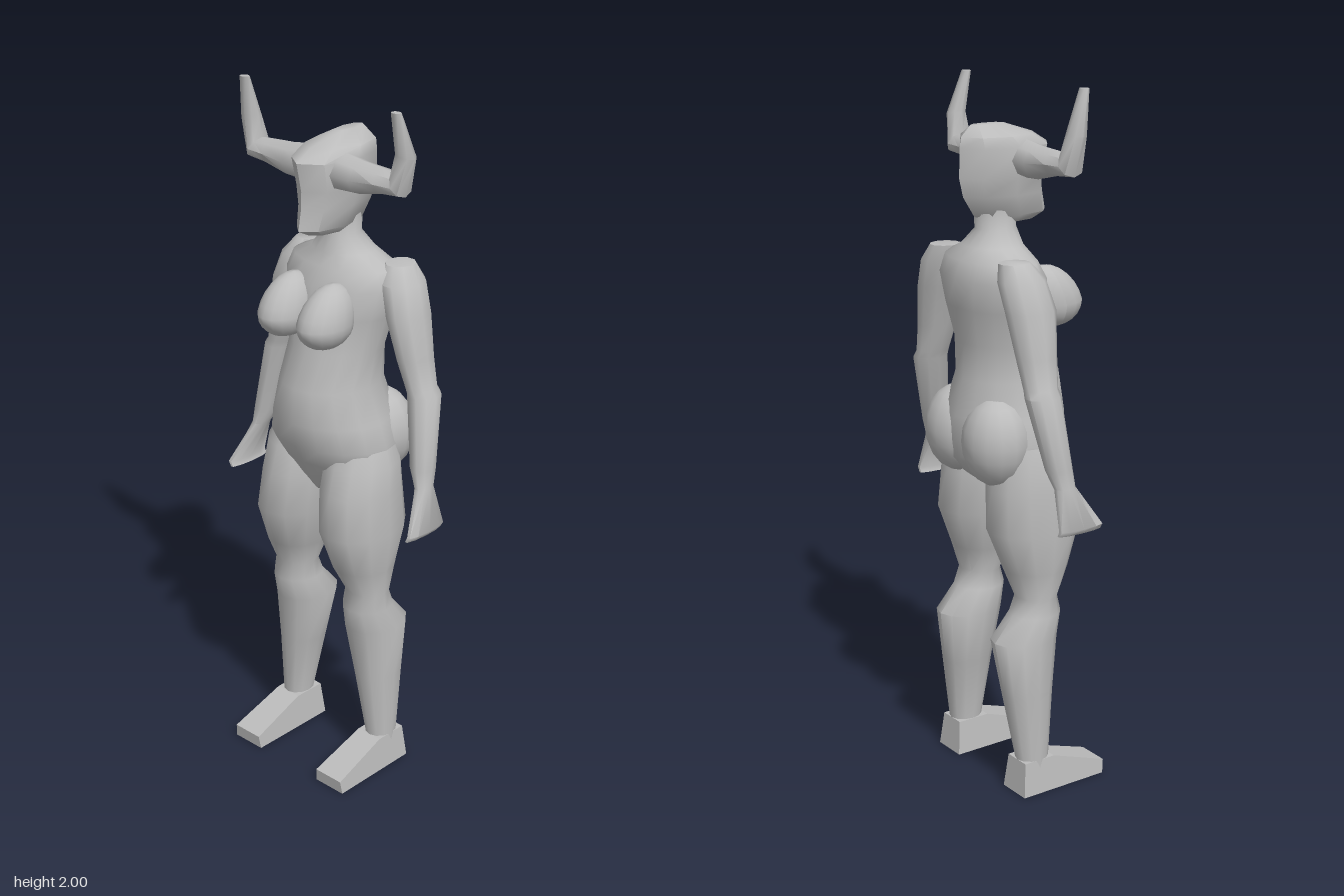
import * as THREE from 'three';
import { toCreasedNormals } from 'three/addons/utils/BufferGeometryUtils.js';

const grey = new THREE.MeshStandardMaterial({ color: 0xbcbcbc });
grey.name = 'plain grey';

// Skin over elliptical rings, each { c: centre, u, v: half axes }, with closed ends
function loft(rings, sides) {
  const pos = [], idx = [];
  for (const { c, u, v } of rings) {
    for (let i = 0; i < sides; i++) {
      const a = (i / sides) * Math.PI * 2;
      const p = c.clone().addScaledVector(u, Math.cos(a)).addScaledVector(v, Math.sin(a));
      pos.push(p.x, p.y, p.z);
    }
  }
  for (let r = 0; r < rings.length - 1; r++) {
    for (let i = 0; i < sides; i++) {
      const a = r * sides + i, b = r * sides + (i + 1) % sides;
      idx.push(a, a + sides, b, b, a + sides, b + sides);
    }
  }
  const top = (rings.length - 1) * sides;
  for (let i = 1; i < sides - 1; i++) {
    idx.push(0, i, i + 1, top, top + i + 1, top + i);
  }
  const geo = new THREE.BufferGeometry();
  geo.setAttribute('position', new THREE.Float32BufferAttribute(pos, 3));
  geo.setIndex(idx);
  return toCreasedNormals(geo, 0.95);
}

const vec = (x, y, z) => new THREE.Vector3(x, y, z);

// Level ring from half width, front and back
const bodyRing = ([y, w, front, back]) => ({
  c: vec(0, y, (front + back) / 2), u: vec(w, 0, 0), v: vec(0, 0, (front - back) / 2),
});

// Level ring of a limb on side s
const limbRing = (s) => ([x, y, z, rx, rz]) => ({
  c: vec(s * x, y, z), u: vec(rx, 0, 0), v: vec(0, 0, rz),
});

// Horn ring: centre, angle of the section in the front plane, half axes
const hornRing = (s) => ([x, y, z, deg, ru, rv]) => {
  const a = THREE.MathUtils.degToRad(deg);
  return {
    c: vec(s * x, y, z),
    u: vec(s * Math.cos(a) * ru, Math.sin(a) * ru, 0),
    v: vec(0, 0, -s * rv),
  };
};

const torso = [
  [0.87, 0.03, 0.06, -0.05], [0.92, 0.12, 0.09, -0.12], [0.97, 0.19, 0.115, -0.16],
  [1.03, 0.195, 0.15, -0.17], [1.1, 0.175, 0.158, -0.17], [1.2, 0.142, 0.152, -0.145],
  [1.3, 0.142, 0.105, -0.14], [1.4, 0.165, 0.09, -0.16], [1.48, 0.185, 0.08, -0.168],
  [1.53, 0.17, 0.05, -0.15], [1.565, 0.095, 0.035, -0.125], [1.61, 0.05, 0.025, -0.095],
  [1.68, 0.05, 0.02, -0.1],
];

const head = [
  [1.625, 0.035, 0.09, -0.07], [1.645, 0.056, 0.13, -0.105], [1.7, 0.066, 0.12, -0.14],
  [1.75, 0.08, 0.118, -0.152], [1.83, 0.085, 0.135, -0.15], [1.86, 0.075, 0.085, -0.145],
  [1.89, 0.02, -0.01, -0.115],
];

const leg = [
  [0.167, 0.02, -0.03, 0.045, 0.05], [0.17, 0.1, -0.03, 0.042, 0.05],
  [0.152, 0.3, -0.035, 0.063, 0.077], [0.138, 0.46, -0.037, 0.083, 0.099],
  [0.139, 0.53, 0, 0.071, 0.075], [0.14, 0.58, 0.003, 0.066, 0.058],
  [0.13, 0.66, 0.008, 0.086, 0.094], [0.122, 0.78, 0.005, 0.108, 0.14],
  [0.112, 0.9, 0.002, 0.107, 0.13], [0.11, 0.98, -0.005, 0.104, 0.115],
  [0.1, 1.06, -0.015, 0.08, 0.085],
];

const arm = [
  [0.342, 0.825, 0, 0.013, 0.073], [0.35, 0.84, 0, 0.016, 0.073],
  [0.316, 0.95, -0.03, 0.022, 0.032], [0.302, 1.0, -0.04, 0.033, 0.04],
  [0.273, 1.2, -0.073, 0.043, 0.053], [0.262, 1.22, -0.072, 0.04, 0.05],
  [0.24, 1.3, -0.07, 0.046, 0.06], [0.213, 1.42, -0.07, 0.053, 0.075],
  [0.185, 1.5, -0.08, 0.056, 0.07], [0.165, 1.545, -0.09, 0.04, 0.045],
];

const horn = [
  [0.03, 1.8, 0.02, 90, 0.055, 0.06], [0.12, 1.795, 0.02, 90, 0.046, 0.05],
  [0.2, 1.802, 0.022, 93, 0.034, 0.044], [0.258, 1.803, 0.022, 122, 0.034, 0.04],
  [0.278, 1.885, 0.025, 170, 0.029, 0.026], [0.27, 2.0, 0.055, 180, 0.015, 0.012],
];

// Breast: ball drawn out into a slope above
function breastGeometry(s) {
  const geo = new THREE.SphereGeometry(1, 16, 12);
  const p = geo.attributes.position;
  for (let i = 0; i < p.count; i++) {
    const x = p.getX(i), y = p.getY(i), z = p.getZ(i);
    p.setXYZ(i, s * 0.073 + x * 0.067, 1.4 + y * (y > 0 ? 0.105 : 0.07),
      0.105 + z * 0.09 - Math.max(0, y) * 0.03);
  }
  geo.computeVertexNormals();
  return geo;
}

// Wedge foot with a flat sole
function footGeometry(s) {
  const side = new THREE.Shape([
    [-0.09, 0], [0.19, 0], [0.195, 0.04], [0.02, 0.1], [-0.08, 0.1],
  ].map(([z, y]) => new THREE.Vector2(z, y)));
  const geo = new THREE.ExtrudeGeometry(side, { depth: 0.104, bevelEnabled: false });
  geo.translate(0, 0, -0.052).rotateY(-Math.PI / 2);
  // narrower at the ankle than at the sole
  const p = geo.attributes.position;
  for (let i = 0; i < p.count; i++) {
    p.setX(i, s * 0.168 + p.getX(i) * (1 - 2 * p.getY(i)));
  }
  geo.computeVertexNormals();
  return geo;
}

export function createModel() {
  const model = new THREE.Group();
  model.name = 'hornedFigure';
  const add = (name, geo) => {
    const mesh = new THREE.Mesh(geo, grey);
    mesh.name = name;
    model.add(mesh);
  };

  add('torso', loft(torso.map(bodyRing), 16));
  add('head', loft(head.map(bodyRing), 8));

  for (const [s, side] of [[1, 'left'], [-1, 'right']]) {
    add(side + 'Leg', loft(leg.map(limbRing(s)), 12));
    add(side + 'Foot', footGeometry(s));
    add(side + 'Arm', loft(arm.map(limbRing(s)), 10));
    add(side + 'Horn', loft(horn.map(hornRing(s)), 8));
    add(side + 'Breast', breastGeometry(s));
    const buttock = new THREE.SphereGeometry(1, 14, 10);
    buttock.scale(0.1, 0.125, 0.095).translate(s * 0.092, 1.035, -0.098);
    add(side + 'Buttock', buttock);
  }
  return model;
}
